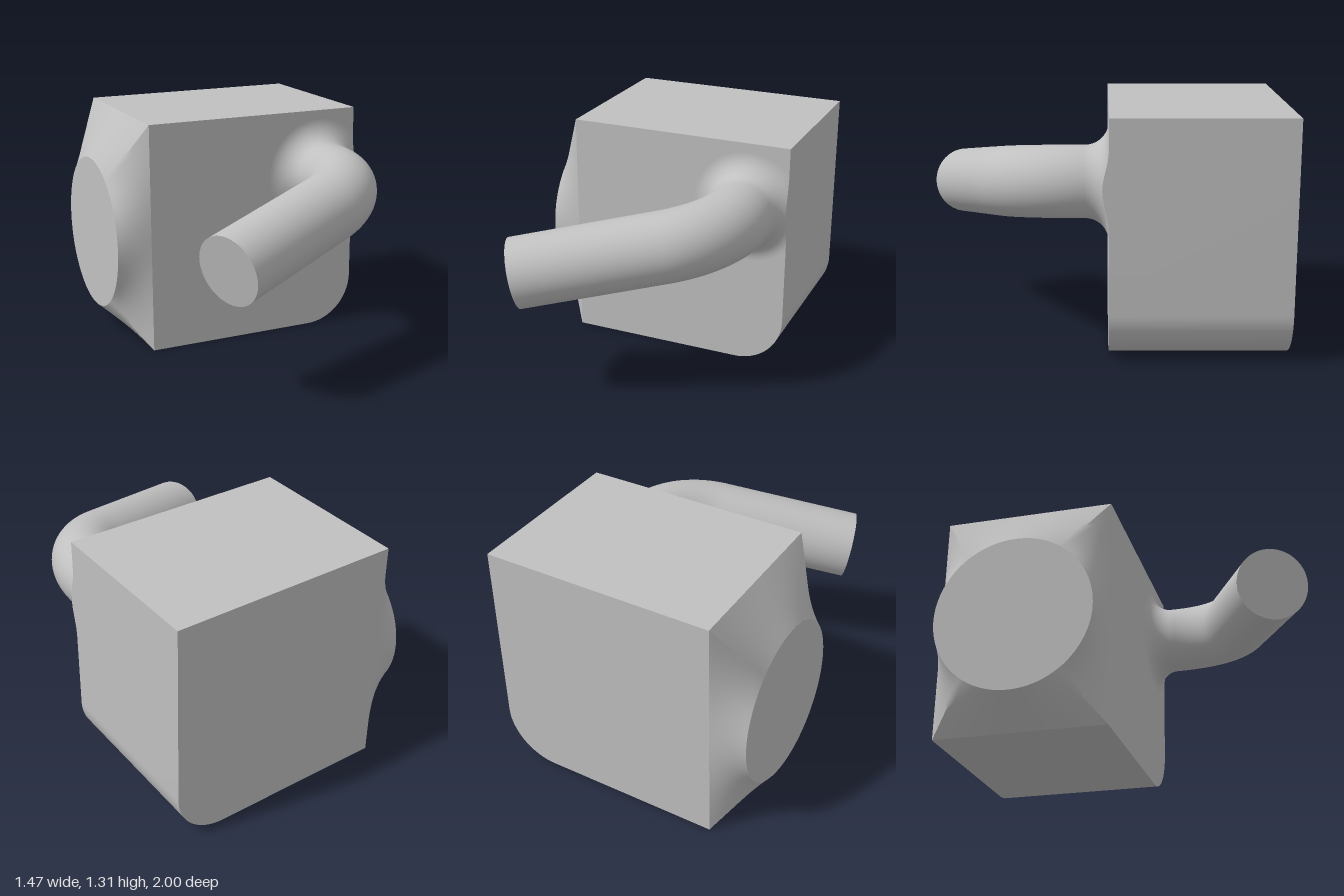
import * as THREE from 'three';
import { toCreasedNormals } from 'three/addons/utils/BufferGeometryUtils.js';

// Surface closed around u (wrapping) and open along v; faces point along du x dv
function ringSurface(nu, nv, point) {
  const pos = [], index = [];
  for (let j = 0; j <= nv; j++)
    for (let i = 0; i < nu; i++) pos.push(...point(i / nu, j));
  for (let j = 0; j < nv; j++)
    for (let i = 0; i < nu; i++) {
      const k = (i + 1) % nu, a = j * nu + i, b = j * nu + k, c = b + nu, d = a + nu;
      index.push(a, b, c, a, c, d);
    }
  const g = new THREE.BufferGeometry();
  g.setAttribute('position', new THREE.Float32BufferAttribute(pos, 3));
  g.setIndex(index);
  return toCreasedNormals(g, 0.6);
}

// Straight run out of the block, circular bend, then a straight run
class BentPath extends THREE.Curve {
  constructor(start, bendStart, dir, radius, end) {
    super();
    const n = new THREE.Vector3(dir.x, dir.y, 0).normalize();
    const angle = Math.acos(dir.z);
    this.arc = (f) => bendStart.clone()
      .addScaledVector(n, radius * (1 - Math.cos(f * angle)))
      .add(new THREE.Vector3(0, 0, radius * Math.sin(f * angle)));
    this.ends = [start, bendStart, this.arc(1), end];
    this.lengths = [start.distanceTo(bendStart), radius * angle, this.arc(1).distanceTo(end)];
  }
  getPoint(t, target = new THREE.Vector3()) {
    const [l0, l1, l2] = this.lengths, [p0, p1, p2, p3] = this.ends;
    const s = t * (l0 + l1 + l2);
    if (s < l0) return target.lerpVectors(p0, p1, s / l0);
    if (s < l0 + l1) return target.copy(this.arc((s - l0) / l1));
    return target.lerpVectors(p2, p3, (s - l0 - l1) / l2);
  }
}

export function createModel() {
  const model = new THREE.Group();
  const grey = new THREE.MeshStandardMaterial({ color: 0xc0c0c0 });
  grey.name = 'grey';
  const add = (name, geometry) => {
    const mesh = new THREE.Mesh(geometry, grey);
    mesh.name = name;
    model.add(mesh);
    return mesh;
  };

  const left = -0.55, right = 0.73, top = 1.31, back = -1, front = -0.04;

  // Block with one rounded lower edge
  const corner = 0.28;
  const outline = new THREE.Shape();
  outline.moveTo(left, 0);
  outline.lineTo(right - corner, 0);
  outline.absarc(right - corner, corner, corner, -Math.PI / 2, 0, false);
  outline.lineTo(right, top);
  outline.lineTo(left, top);
  outline.closePath();
  const block = new THREE.ExtrudeGeometry(outline, { depth: front - back, bevelEnabled: false, curveSegments: 24 });
  block.translate(0, 0, back);
  add('block', toCreasedNormals(block, 0.5));

  // Transition from the rectangular side to a round end
  const midY = top / 2, midZ = (front + back) / 2, halfZ = (front - back) / 2;
  const endX = -0.735, endY = 0.605, endR = 0.442, steps = 8;
  const corners = [[1, 1], [1, -1], [-1, -1], [-1, 1]];
  add('transition', ringSurface(96, steps, (u, j) => {
    const side = Math.floor(u * 4 + 1e-6), f = u * 4 - side;
    const [a, b] = [corners[side], corners[(side + 1) % 4]];
    const y = midY * (a[0] + (b[0] - a[0]) * f);
    const z = halfZ * (a[1] + (b[1] - a[1]) * f);
    const angle = Math.atan2(z, y), t = j / steps;
    return [
      left + (endX - left) * t,
      (midY + y) * (1 - t) + (endY + endR * Math.cos(angle)) * t,
      midZ + z * (1 - t) + endR * Math.sin(angle) * t,
    ];
  }));
  const roundEnd = add('roundEnd', new THREE.CircleGeometry(endR, 96));
  roundEnd.rotation.y = -Math.PI / 2;
  roundEnd.position.set(endX, endY, midZ);

  // Bent rod
  const rodX = 0.5, rodY = 0.94, rodR = 0.192;
  const dir = new THREE.Vector3(-0.903, -0.195, 0.383).normalize();
  const end = new THREE.Vector3(-0.475, 0.73, 0.82);
  const path = new BentPath(
    new THREE.Vector3(rodX, rodY, front),
    new THREE.Vector3(rodX, rodY, 0.122), dir, 0.427, end);
  add('rod', new THREE.TubeGeometry(path, 90, rodR, 64, false));
  const rodEnd = add('rodEnd', new THREE.CircleGeometry(rodR, 64));
  rodEnd.position.copy(end);
  rodEnd.lookAt(end.clone().add(dir));

  // Fillet at the rod's root, cut flush with the block's side
  const filletR = 0.122, outer = rodR + filletR, arcSteps = 16;
  add('fillet', ringSurface(128, arcSteps + 1, (u, j) => {
    const a = u * Math.PI * 2, c = Math.cos(a);
    const r0 = c > 0 ? Math.min(outer, (right - rodX) / c) : outer;
    const start = Math.asin((outer - r0) / filletR);
    const phi = start + (Math.PI / 2 - start) * Math.max(0, j - 1) / arcSteps;
    const r = outer - filletR * Math.sin(phi);
    const z = j === 0 ? front : front + filletR * (1 - Math.cos(phi));
    return [rodX + r * c, rodY + r * Math.sin(a), z];
  }));

  return model;
}
